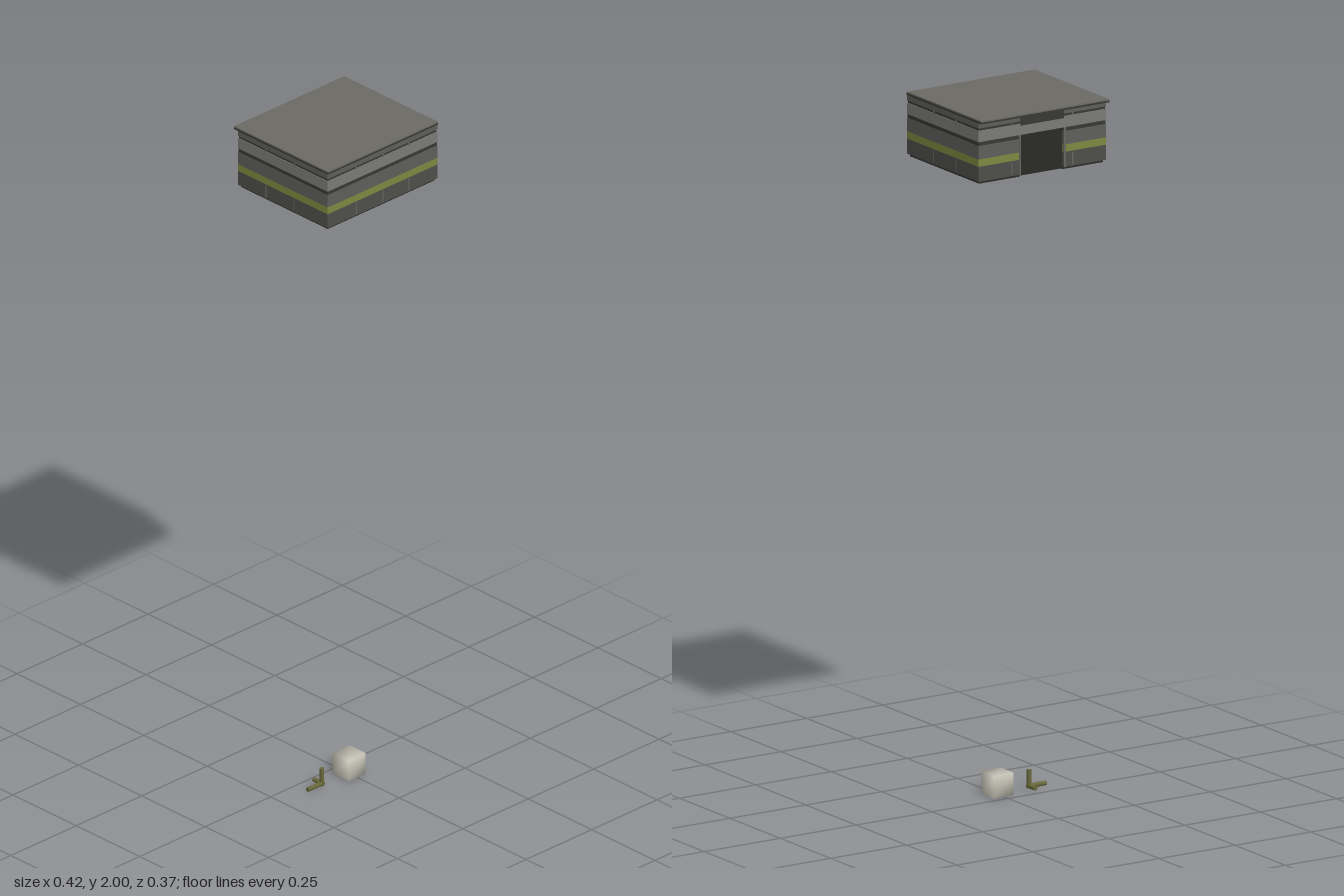
import * as THREE from 'three';
import { mergeVertices } from 'three/addons/utils/BufferGeometryUtils.js';

const HALF_W = 0.21, FRONT = 0.184, BACK = -0.17, DOOR = 0.071, RECESS = 0.01;

const paint = (color) => new THREE.MeshStandardMaterial({ color });

function add(parent, name, geometry, material, x = 0, y = 0, z = 0) {
  const mesh = new THREE.Mesh(geometry, material);
  mesh.name = name;
  mesh.position.set(x, y, z);
  parent.add(mesh);
  return mesh;
}

// One horizontal course of wall, optionally notched for the doorway at the back
function courseGeometry(height, inset, notched) {
  const w = HALF_W - inset, f = -FRONT + inset, b = -BACK - inset;
  const pts = [[-w, f], [w, f], [w, b]];
  if (notched) pts.push([DOOR, b], [DOOR, b - RECESS], [-DOOR, b - RECESS], [-DOOR, b]);
  pts.push([-w, b]);
  const shape = new THREE.Shape(pts.map(([x, y]) => new THREE.Vector2(x, y)));
  return new THREE.ExtrudeGeometry(shape, { depth: height, bevelEnabled: false }).rotateX(-Math.PI / 2);
}

function createBuilding() {
  const building = new THREE.Group();
  building.name = 'building';
  const dark = paint(0x383836), seam = paint(0x656561), doorPaint = paint(0x2a2b26);

  // Wall courses: name, bottom, top, inset, colour, doorway
  const courses = [
    ['baseCourse', 1.817, 1.824, 0.006, 0x2c2c2a, true],
    ['lowerWall', 1.824, 1.867, 0, 0x4e4e4a, true],
    ['stripe', 1.867, 1.888, 0, 0x7c8840, true],
    ['middleWall', 1.888, 1.926, 0, 0x5e5e5a, true],
    ['darkBand', 1.926, 1.937, 0.001, 0x383836, true],
    ['upperWall', 1.937, 1.969, 0, 0x7a7a75, false],
    ['topGroove', 1.969, 1.976, 0.002, 0x383836, false],
    ['cornice', 1.976, 1.991, 0, 0x5e5e5a, false],
  ];
  for (const [name, y0, y1, inset, color, notched] of courses) {
    add(building, name, courseGeometry(y1 - y0, inset, notched), paint(color), 0, y0, 0);
  }

  // Thin panel seams on front, back and both sides
  for (const [y, h] of [[1.845, 0.036], [1.972, 0.008]]) {
    for (const x of [-0.1, 0, 0.1]) {
      add(building, 'frontSeam', new THREE.BoxGeometry(0.004, h, 0.002), seam, x, y, FRONT);
      if (x !== 0) add(building, 'backSeam', new THREE.BoxGeometry(0.004, h, 0.002), seam, x, y, BACK);
    }
    for (const side of [-1, 1]) for (const z of [-0.06, 0.052]) {
      add(building, 'sideSeam', new THREE.BoxGeometry(0.002, h, 0.004), seam, side * HALF_W, y, z);
    }
  }

  // Recessed door with jambs and a dark panel above it
  add(building, 'door', new THREE.BoxGeometry(DOOR * 2, 0.118, 0.004), doorPaint, 0, 1.878, BACK + RECESS);
  for (const side of [-1, 1]) {
    add(building, 'doorJamb', new THREE.BoxGeometry(0.006, 0.113, 0.004), seam, side * (DOOR + 0.003), 1.8805, BACK);
  }
  add(building, 'doorHeader', new THREE.BoxGeometry(DOOR * 2, 0.026, 0.004), dark, 0, 1.977, BACK);

  // Roof slab overhanging the back
  add(building, 'roof', new THREE.BoxGeometry(HALF_W * 2, 0.009, 0.37), paint(0x6c6a64), 0, 1.9955, 0);
  add(building, 'roofEdge', new THREE.BoxGeometry(HALF_W * 2 + 0.001, 0.005, 0.371), dark, 0, 1.9935, 0);
  return building;
}

function createAxisMarker() {
  const marker = new THREE.Group();
  marker.name = 'axisMarker';
  const olive = paint(0x67683a), r = 0.0065;
  marker.position.set(-0.104, 0.0085, 0.052);
  const bar = (length) => new THREE.CylinderGeometry(r, r, length, 12);
  add(marker, 'uprightArm', bar(0.053), olive, 0, 0.02, 0);
  add(marker, 'sideArm', bar(0.06).rotateZ(Math.PI / 2), olive, -0.025, 0, 0);
  add(marker, 'backArm', bar(0.038).rotateX(Math.PI / 2), olive, 0, 0, -0.013);
  return marker;
}

// Cube with normals shared across its corners
function createSoftCube() {
  const box = new THREE.BoxGeometry(0.064, 0.064, 0.064);
  box.deleteAttribute('normal');
  box.deleteAttribute('uv');
  const geometry = mergeVertices(box);
  geometry.computeVertexNormals();
  const cube = new THREE.Mesh(geometry, paint(0xcccabc));
  cube.name = 'cube';
  cube.position.set(0, 0.032, 0.052);
  return cube;
}

export function createModel() {
  const model = new THREE.Group();
  model.name = 'model';
  model.add(createBuilding(), createAxisMarker(), createSoftCube());
  return model;
}
